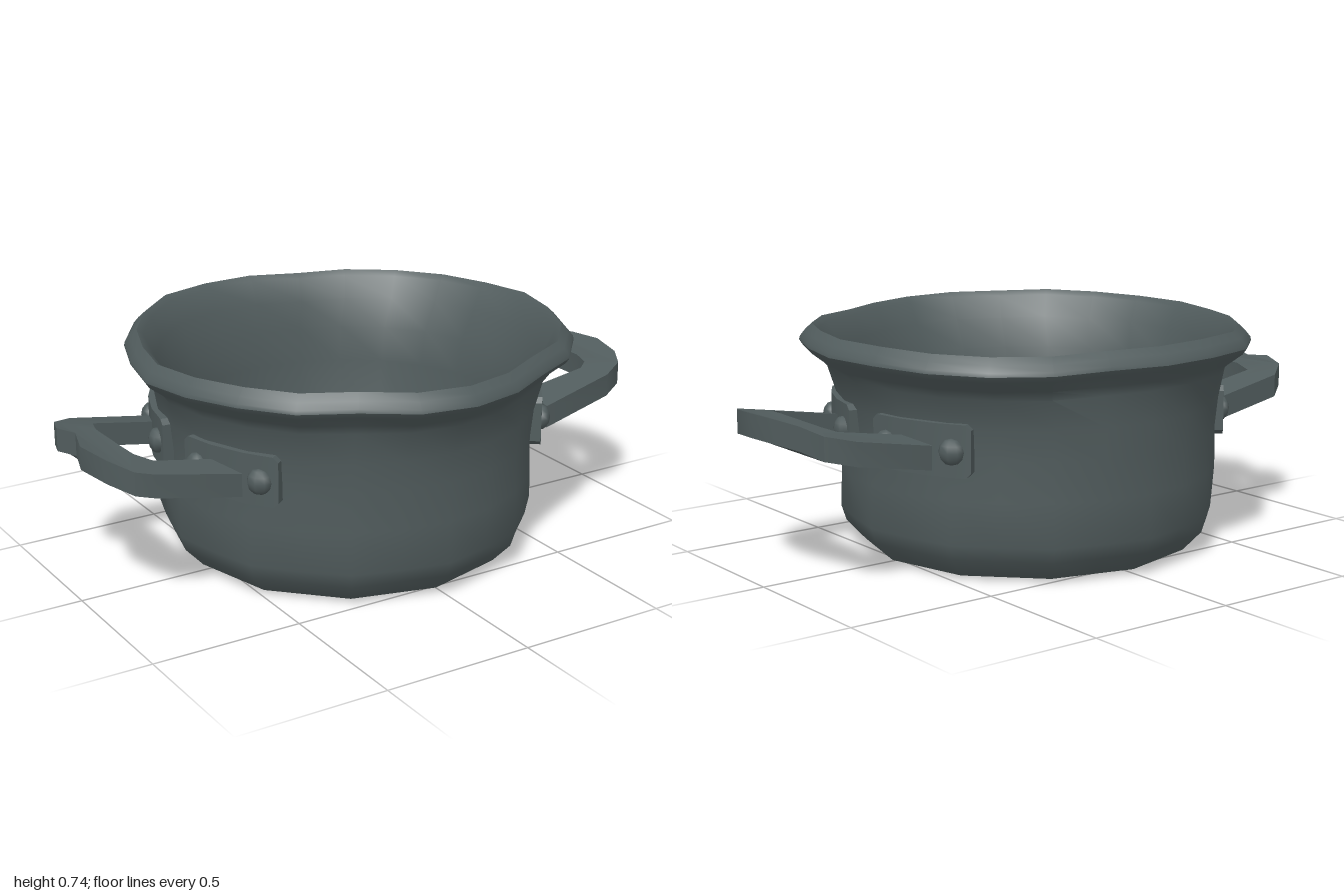
import * as THREE from 'three';
import { mergeVertices, toCreasedNormals } from 'three/addons/utils/BufferGeometryUtils.js';

const iron = new THREE.MeshStandardMaterial({ color: 0x515c5d });
iron.name = 'dark iron';

// Rim radius every 15 degrees, from +x towards +z
const RIM = [0.75, 0.735, 0.735, 0.72, 0.68, 0.7, 0.72, 0.72, 0.69, 0.725, 0.725, 0.735,
  0.75, 0.735, 0.745, 0.755, 0.77, 0.745, 0.73, 0.7, 0.735, 0.745, 0.745, 0.735];

// Centre of the pot wall below the rim
const WALL_X = -0.01, WALL_Z = -0.02;

// Move every vertex by a rule, then rebuild normals with sharp creases
function reshape(geometry, rule, crease) {
  const p = geometry.attributes.position, v = new THREE.Vector3();
  for (let i = 0; i < p.count; i++) {
    rule(v.fromBufferAttribute(p, i));
    p.setXYZ(i, v.x, v.y, v.z);
  }
  geometry.deleteAttribute('normal');
  geometry.deleteAttribute('uv');
  return toCreasedNormals(mergeVertices(geometry, 1e-4), crease);
}

function part(name, geometry) {
  const mesh = new THREE.Mesh(geometry, iron);
  mesh.name = name;
  return mesh;
}

const vectors = (pts) => pts.map(([x, y]) => new THREE.Vector2(x, y));

// Pot: closed profile, up the outside, over the flared rim, down the inside
function potBody() {
  const profile = vectors([[0, 0.004], [0.46, 0.004], [0.548, 0.014], [0.61, 0.08], [0.626, 0.13], [0.622, 0.27],
    [0.62, 0.4], [0.63, 0.5], [0.652, 0.6], [0.672, 0.63], [0.722, 0.67], [0.734, 0.688], [0.731, 0.7],
    [0.715, 0.72], [0.692, 0.742], [0.672, 0.725], [0.635, 0.65], [0.598, 0.55], [0.575, 0.43], [0.577, 0.17],
    [0.547, 0.06], [0, 0.06]]);
  return reshape(new THREE.LatheGeometry(profile, 24), (v) => {
    // Hand-beaten rim, blending to a slightly off-centre, twelve-sided base
    const k = THREE.MathUtils.smoothstep(v.y, 0.5, 0.68);
    const a = Math.atan2(v.z, v.x);
    const i = (Math.round(a / (Math.PI / 12)) + 24) % 24;
    const facet = i % 2 ? 1 - 0.034 * (1 - THREE.MathUtils.smoothstep(v.y, 0.06, 0.25)) : 1;
    const s = facet * (1 + k * (RIM[i] / 0.735 - 1));
    v.x = v.x * s + WALL_X * (1 - k);
    v.z = v.z * s + WALL_Z * (1 - k);
    v.y += k * 0.005 * Math.sin(3 * a + 1);
  }, 0.62);
}

// Handle: flat U-shaped bar rising away from the pot
function handle(points) {
  const g = new THREE.ExtrudeGeometry(new THREE.Shape(vectors(points)), { depth: 0.077, bevelEnabled: false });
  g.rotateX(Math.PI / 2);
  return reshape(g, (v) => {
    const reach = Math.abs(v.x) - 0.6;
    v.y += 0.475 + 0.17 * reach - 0.25 * v.z * v.z;
  }, 0.6);
}

// Bracket plate with clipped corners, bent around the pot wall
function bracket(angle) {
  const columns = [-0.18, -0.163, -0.06, 0.06, 0.163, 0.18];
  return reshape(new THREE.BoxGeometry(5, 0.166, 0.036, 5, 1, 1), (v) => {
    const u = columns[Math.round(v.x + 2.5)];
    const y = v.y * (Math.abs(u) > 0.17 ? 0.8 : 1);
    const r = 0.634 + v.z, a = angle - u / 0.64;
    v.set(r * Math.cos(a) + WALL_X, y + 0.435, r * Math.sin(a) + WALL_Z);
  }, 0.5);
}

function rivet(angle) {
  const mesh = part('rivet', new THREE.SphereGeometry(0.042, 8, 6));
  mesh.scale.x = 0.75;
  mesh.rotation.y = -angle;
  mesh.position.set(0.65 * Math.cos(angle) + WALL_X, 0.432, 0.65 * Math.sin(angle) + WALL_Z);
  return mesh;
}

export function createModel() {
  const pot = new THREE.Group();
  pot.name = 'cookingPot';
  pot.add(part('potBody', potBody()));

  // Handle outlines in x and z, each slightly uneven
  const leftHandle = [[0.58, -0.31], [0.84, -0.3], [0.93, -0.26], [0.95, -0.15], [0.98, -0.07], [1, 0.05],
    [0.98, 0.17], [0.94, 0.24], [0.86, 0.28], [0.58, 0.31],
    [0.58, 0.18], [0.82, 0.185], [0.855, 0.16], [0.87, 0.1], [0.87, -0.15], [0.845, -0.2], [0.58, -0.2]];
  const rightHandle = [[-0.58, -0.31], [-0.88, -0.3], [-0.96, -0.24], [-0.99, -0.15], [-0.955, -0.085],
    [-1, 0.05], [-0.97, 0.17], [-0.92, 0.26], [-0.86, 0.28], [-0.58, 0.3],
    [-0.58, 0.19], [-0.82, 0.185], [-0.86, 0.13], [-0.87, 0.05], [-0.87, -0.12], [-0.845, -0.2], [-0.58, -0.2]];
  pot.add(part('leftHandle', handle(leftHandle)), part('rightHandle', handle(rightHandle)));

  // Two riveted brackets for each handle, mirrored about the handle's middle
  for (const side of [0, Math.PI]) {
    const lean = side ? -0.025 : 0.025;
    for (const s of [1, -1]) {
      pot.add(part('bracket', bracket(side + lean + s * 0.393)));
      for (const a of [0.2, 0.575]) pot.add(rivet(side + lean + s * a));
    }
  }
  return pot;
}
